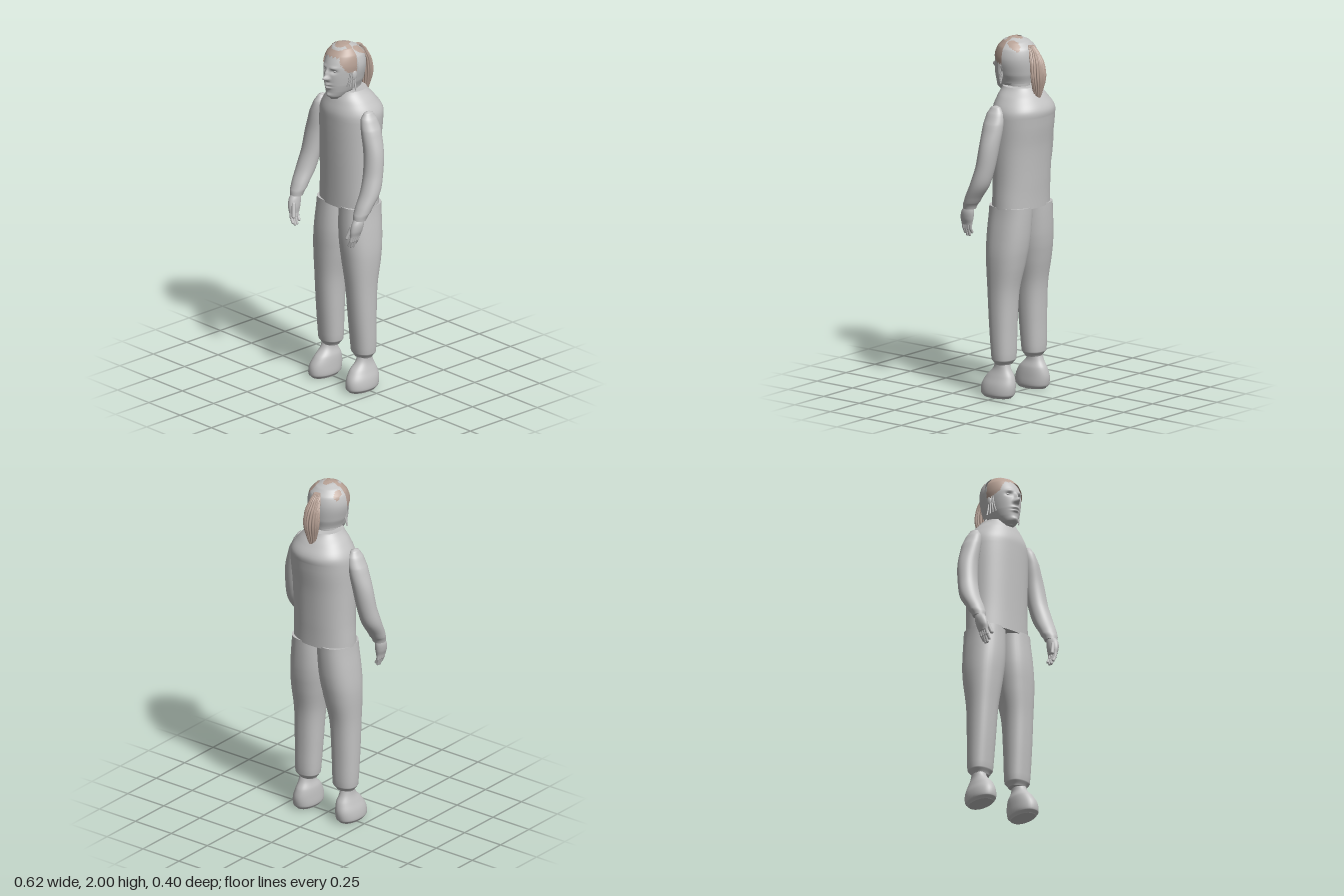
import * as THREE from 'three';

const grey = new THREE.MeshStandardMaterial({ color: 0xc2c2c2, side: THREE.DoubleSide });
const brown = new THREE.MeshStandardMaterial({ color: 0xb8a296, side: THREE.DoubleSide });

// Smooth interpolation through cross-section values
function spline(a, b, c, d, t) {
  const m0 = (c - a) / 2, m1 = (d - b) / 2, t2 = t * t, t3 = t2 * t;
  return (2 * t3 - 3 * t2 + 1) * b + (t3 - 2 * t2 + t) * m0 + (3 * t2 - 2 * t3) * c + (t3 - t2) * m1;
}

// Skin over horizontal sections [y, x0, x1, z0, z1], listed from the bottom up.
// pick(centre) gives 0 or 1 for the material and -1 for no face.
function loft(name, sections, { n = 32, steps = 5, power = 2, warp, pick, material = grey } = {}) {
  const rows = [], last = sections.length - 1;
  for (let s = 0; s < last; s++) {
    const k = [s - 1, s, s + 1, s + 2].map(i => sections[Math.min(last, Math.max(0, i))]);
    for (let j = 0; j < steps; j++) {
      rows.push(k[0].map((_, i) => i === 0
        ? THREE.MathUtils.lerp(k[1][0], k[2][0], j / steps)
        : spline(k[0][i], k[1][i], k[2][i], k[3][i], j / steps)));
    }
  }
  rows.push(sections[last]);

  const pts = [], lists = [[], []];
  const bend = v => Math.sign(v) * Math.abs(v) ** (2 / power);
  const ring = ([y, x0, x1, z0, z1]) => {
    const start = pts.length;
    for (let j = 0; j < n; j++) {
      const a = (j / n) * Math.PI * 2;
      const p = new THREE.Vector3(
        (x0 + x1) / 2 + (x1 - x0) / 2 * bend(Math.cos(a)), y,
        (z0 + z1) / 2 + (z1 - z0) / 2 * bend(Math.sin(a)));
      if (warp) warp(p, a, (x0 + x1) / 2, (z0 + z1) / 2);
      pts.push(p);
    }
    return start;
  };
  const face = (a, b, c) => {
    const m = pick ? pick(pts[a].clone().add(pts[b]).add(pts[c]).divideScalar(3)) : 0;
    if (m >= 0) lists[m].push(a, b, c);
  };
  const starts = rows.map(ring);
  for (let i = 0; i + 1 < starts.length; i++) {
    for (let j = 0; j < n; j++) {
      const k = (j + 1) % n, a = starts[i], b = starts[i + 1];
      face(a + j, b + j, a + k);
      face(a + k, b + j, b + k);
    }
  }
  // Flat ends with their own vertices
  for (const [row, top] of [[rows[0], false], [rows[rows.length - 1], true]]) {
    const r = ring(row);
    pts.push(new THREE.Vector3((row[1] + row[2]) / 2, row[0], (row[3] + row[4]) / 2));
    const c = pts.length - 1;
    for (let j = 0; j < n; j++) {
      const k = (j + 1) % n;
      if (top) face(c, r + k, r + j); else face(c, r + j, r + k);
    }
  }
  const g = new THREE.BufferGeometry().setFromPoints(pts);
  g.setIndex([...lists[0], ...lists[1]]);
  g.addGroup(0, lists[0].length, 0);
  g.addGroup(lists[0].length, lists[1].length, 1);
  g.computeVertexNormals();
  const mesh = new THREE.Mesh(g, pick ? [grey, brown] : material);
  mesh.name = name;
  return mesh;
}

// Rounded rod between two points
function rod(name, from, to, r) {
  const a = new THREE.Vector3(...from), b = new THREE.Vector3(...to), d = b.clone().sub(a);
  const m = new THREE.Mesh(new THREE.CapsuleGeometry(r, d.length(), 5, 10), grey);
  m.position.copy(a).add(b).multiplyScalar(0.5);
  m.quaternion.setFromUnitVectors(new THREE.Vector3(0, 1, 0), d.normalize());
  m.name = name;
  return m;
}

function ball(name, x, y, z, rx, ry, rz) {
  const m = new THREE.Mesh(new THREE.SphereGeometry(1, 20, 14), grey);
  m.position.set(x, y, z);
  m.scale.set(rx, ry, rz);
  m.name = name;
  return m;
}

// Sections that are symmetric about x = 0: [y, half width, z0, z1]
const sym = list => list.map(([y, w, z0, z1]) => [y, -w, w, z0, z1]);
const flip = list => list.map(([y, x0, x1, z0, z1]) => [y, -x1, -x0, z0, z1]);

function makeHead() {
  const head = new THREE.Group();
  head.name = 'head';
  const skull = sym([
    [1.69, 0.025, 0.03, 0.105], [1.71, 0.047, -0.02, 0.125], [1.74, 0.066, -0.06, 0.13],
    [1.78, 0.08, -0.085, 0.135], [1.84, 0.09, -0.1, 0.137], [1.89, 0.094, -0.103, 0.13],
    [1.94, 0.086, -0.088, 0.105], [1.975, 0.06, -0.055, 0.07], [1.991, 0.03, -0.025, 0.035],
    [1.995, 0.004, 0, 0.008]]);
  // Face relief: [x, y, depth, width, height]
  const relief = [
    [0, 1.822, 0.032, 0.013, 0.013], [0, 1.85, 0.017, 0.009, 0.02],
    [0.015, 1.818, 0.009, 0.007, 0.007], [-0.015, 1.818, 0.009, 0.007, 0.007],
    [0.035, 1.884, 0.006, 0.02, 0.008], [-0.035, 1.884, 0.006, 0.02, 0.008],
    [0.035, 1.862, -0.013, 0.017, 0.01], [-0.035, 1.862, -0.013, 0.017, 0.01],
    [0, 1.784, 0.013, 0.022, 0.006], [0, 1.766, 0.012, 0.019, 0.006],
    [0, 1.775, -0.006, 0.026, 0.003], [0, 1.72, 0.007, 0.02, 0.012]];
  head.add(loft('face', skull, {
    n: 96, steps: 9,
    warp: p => {
      if (p.z < 0.05) return;
      let dz = 0;
      for (const [x, y, d, w, h] of relief) dz += d * Math.exp(-(((p.x - x) / w) ** 2) - ((p.y - y) / h) ** 2);
      p.z += dz;
    },
  }));
  // Front hair, with a bare crescent on the crown
  const crown = skull.slice(4).map(([y, x0, x1, z0, z1]) => [y + 0.005, x0 - 0.007, x1 + 0.007, z0, z1 + 0.004]);
  head.add(loft('frontHair', crown, {
    n: 96, steps: 9,
    pick: c => {
      const line = 1.94 - 2 * Math.max(0, Math.abs(c.x) - 0.052) + 0.004 * Math.sin(c.x * 260);
      if (c.z < 0.005 || c.y < line) return -1;
      return c.z > 0.035 && Math.abs(Math.hypot(c.x, c.z - 0.03) - 0.044) < 0.009 ? 0 : 1;
    },
  }));
  // Half shell around the back of the head, with hair patches
  const shell = [[1.75, 0.085, 0.105], [1.8, 0.104, 0.118], [1.88, 0.12, 0.125], [1.94, 0.109, 0.114],
    [1.975, 0.078, 0.08], [1.993, 0.04, 0.042], [1.999, 0.005, 0.005]];
  head.add(loft('backHair', sym(shell.map(([y, w, d]) => [y, w, 0.012 - d, 0.012 + d])), {
    n: 64, steps: 7,
    pick: c => {
      if (c.z > 0.012 || c.y < 1.7505) return -1;
      const lobe = Math.hypot(c.x / 0.025, (c.z - 0.005) / 0.042) < 1;
      const left = Math.hypot((c.x - 0.07) / 0.022, (c.z + 0.035) / 0.04) < 1;
      const right = Math.hypot((c.x + 0.088) / 0.014, (c.z + 0.03) / 0.027) < 1;
      return c.y > 1.92 && (lobe || left || right) ? 1 : 0;
    },
  }));
  // Ridged ponytail
  head.add(loft('ponytail', sym([
    [1.64, 0.005, -0.15, -0.137], [1.7, 0.024, -0.168, -0.122], [1.79, 0.045, -0.186, -0.115],
    [1.87, 0.042, -0.174, -0.108], [1.93, 0.028, -0.142, -0.092], [1.96, 0.02, -0.115, -0.085]]), {
    n: 96, material: brown,
    warp: (p, a, cx, cz) => {
      const k = 1 + 0.09 * Math.cos(16 * a + 2 * Math.sin(p.y * 20));
      p.x = cx + (p.x - cx) * k;
      p.z = cz + (p.z - cz) * k;
    },
  }));
  for (const s of [1, -1]) {
    head.add(ball('eye', s * 0.035, 1.862, 0.106, 0.014, 0.009, 0.013));
    head.add(ball('ear', s * 0.093, 1.835, 0.02, 0.01, 0.03, 0.018));
    // Loose strands beside the jaw
    for (let i = 0; i < 4; i++) {
      const z = 0.015 + i * 0.012;
      const path = new THREE.CatmullRomCurve3([
        new THREE.Vector3(s * 0.094, 1.86, z), new THREE.Vector3(s * (0.1 - i * 0.004), 1.8, z + 0.006),
        new THREE.Vector3(s * (0.112 - i * 0.011), 1.75 + 0.007 * i, z + 0.01)]);
      const strand = new THREE.Mesh(new THREE.TubeGeometry(path, 12, 0.004, 6), grey);
      strand.name = 'looseStrand';
      head.add(strand);
    }
  }
  return head;
}

export function createModel() {
  const model = new THREE.Group();
  model.name = 'standingFigure';
  model.add(makeHead());
  model.add(loft('neck', sym([[1.66, 0.065, -0.075, 0.05], [1.72, 0.06, -0.075, 0.05], [1.79, 0.06, -0.08, 0.05]])));
  model.add(loft('sweater', sym([
    [1.06, 0.187, -0.155, 0.098], [1.2, 0.182, -0.162, 0.1], [1.4, 0.184, -0.176, 0.105],
    [1.57, 0.187, -0.198, 0.108], [1.62, 0.177, -0.198, 0.105], [1.68, 0.138, -0.158, 0.087],
    [1.73, 0.095, -0.12, 0.07]]), { n: 64, power: 2.2 }));

  const leg = [[0.185, 0.08, 0.18, -0.055, 0.03], [0.215, 0.06, 0.2, -0.076, 0.048], [0.4, 0.05, 0.205, -0.08, 0.065],
    [0.6, 0.038, 0.207, -0.09, 0.08], [0.78, 0.006, 0.213, -0.125, 0.095], [0.9, -0.01, 0.205, -0.142, 0.1],
    [1.07, -0.014, 0.186, -0.15, 0.094]];
  const shoe = [[0, 0.098, 0.2, -0.07, 0.1], [0.02, 0.085, 0.213, -0.09, 0.118], [0.07, 0.085, 0.209, -0.097, 0.114],
    [0.12, 0.09, 0.192, -0.086, 0.085], [0.16, 0.103, 0.18, -0.064, 0.045], [0.2, 0.105, 0.178, -0.052, 0.028]];
  const sleeve = [[1.06, 0.217, 0.288, 0.092, 0.165], [1.1, 0.207, 0.3, 0.066, 0.155], [1.2, 0.2, 0.312, 0, 0.11],
    [1.3, 0.19, 0.304, -0.03, 0.077], [1.42, 0.175, 0.29, -0.05, 0.062], [1.54, 0.155, 0.255, -0.06, 0.06],
    [1.6, 0.15, 0.226, -0.05, 0.05], [1.635, 0.165, 0.203, -0.028, 0.028], [1.642, 0.178, 0.19, -0.01, 0.01]];
  const palm = [[0.965, 0.225, 0.262, 0.12, 0.188], [1, 0.222, 0.274, 0.11, 0.19], [1.04, 0.224, 0.28, 0.103, 0.18],
    [1.08, 0.23, 0.275, 0.105, 0.155]];
  for (const [side, s] of [['left', 1], ['right', -1]]) {
    const place = list => (s > 0 ? list : flip(list));
    model.add(loft(side + 'TrouserLeg', place(leg), { n: 40, power: 2.3 }));
    model.add(loft(side + 'Shoe', place(shoe), { n: 40, power: 2.2 }));
    model.add(loft(side + 'Sleeve', place(sleeve), { n: 40 }));
    const hand = new THREE.Group();
    hand.name = side + 'Hand';
    hand.add(loft('palm', place(palm), { n: 24 }));
    [0.92, 0.903, 0.902, 0.915].forEach((tip, i) => {
      const z = 0.13 + i * 0.016;
      hand.add(rod('finger', [s * 0.245, 0.975, z], [s * 0.238, 0.94, z + 0.003], 0.009));
      hand.add(rod('fingertip', [s * 0.238, 0.94, z + 0.003], [s * 0.225, tip, z + 0.004], 0.008));
    });
    hand.add(rod('thumb', [s * 0.232, 1.02, 0.17], [s * 0.213, 0.955, 0.188], 0.01));
    model.add(hand);
  }
  return model;
}
